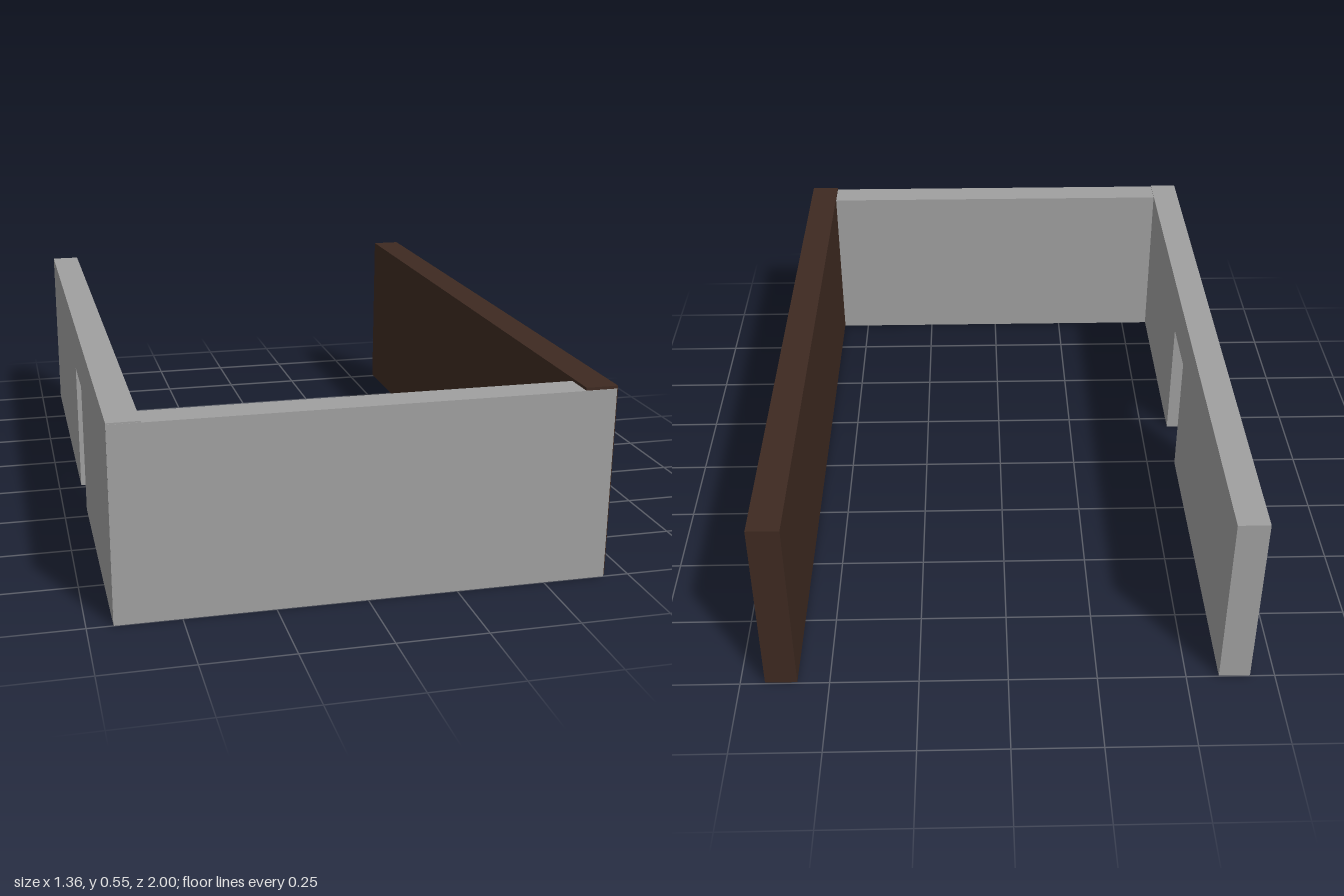
import * as THREE from 'three';

export function createModel() {
  const group = new THREE.Group();
  const grey = new THREE.MeshStandardMaterial({ color: 0xa0a0a0 });
  grey.name = 'grey plaster';
  const brown = new THREE.MeshStandardMaterial({ color: 0x3e2a21 });
  brown.name = 'dark brown';

  const add = (name, geometry, material) => {
    const mesh = new THREE.Mesh(geometry, material);
    mesh.name = name;
    group.add(mesh);
  };

  // Box spanning two opposite corners
  const span = (x0, y0, z0, x1, y1, z1) =>
    new THREE.BoxGeometry(x1 - x0, y1 - y0, z1 - z0)
      .translate((x0 + x1) / 2, (y0 + y1) / 2, (z0 + z1) / 2);

  // Front wall, a touch lower than the side walls
  add('frontWall', span(-0.679, 0, 0.907, 0.677, 0.545, 1), grey);

  // Solid brown side wall
  add('leftWall', span(0.59, 0.004, -1, 0.68, 0.553, 0.998), brown);

  // Side wall with a doorway: outline in (z, y), extruded through its thickness
  const outline = new THREE.Shape([
    [-1, 0.002], [-0.012, 0.002], [-0.012, 0.4], [0.198, 0.4],
    [0.198, 0.002], [0.999, 0.002], [0.999, 0.549], [-1, 0.549],
  ].map(([z, y]) => new THREE.Vector2(z, y)));
  const doorWall = new THREE.ExtrudeGeometry(outline, { depth: 0.088, bevelEnabled: false });
  doorWall.rotateY(-Math.PI / 2).translate(-0.592, 0, 0);
  add('rightWallWithDoorway', doorWall, grey);

  return group;
}
